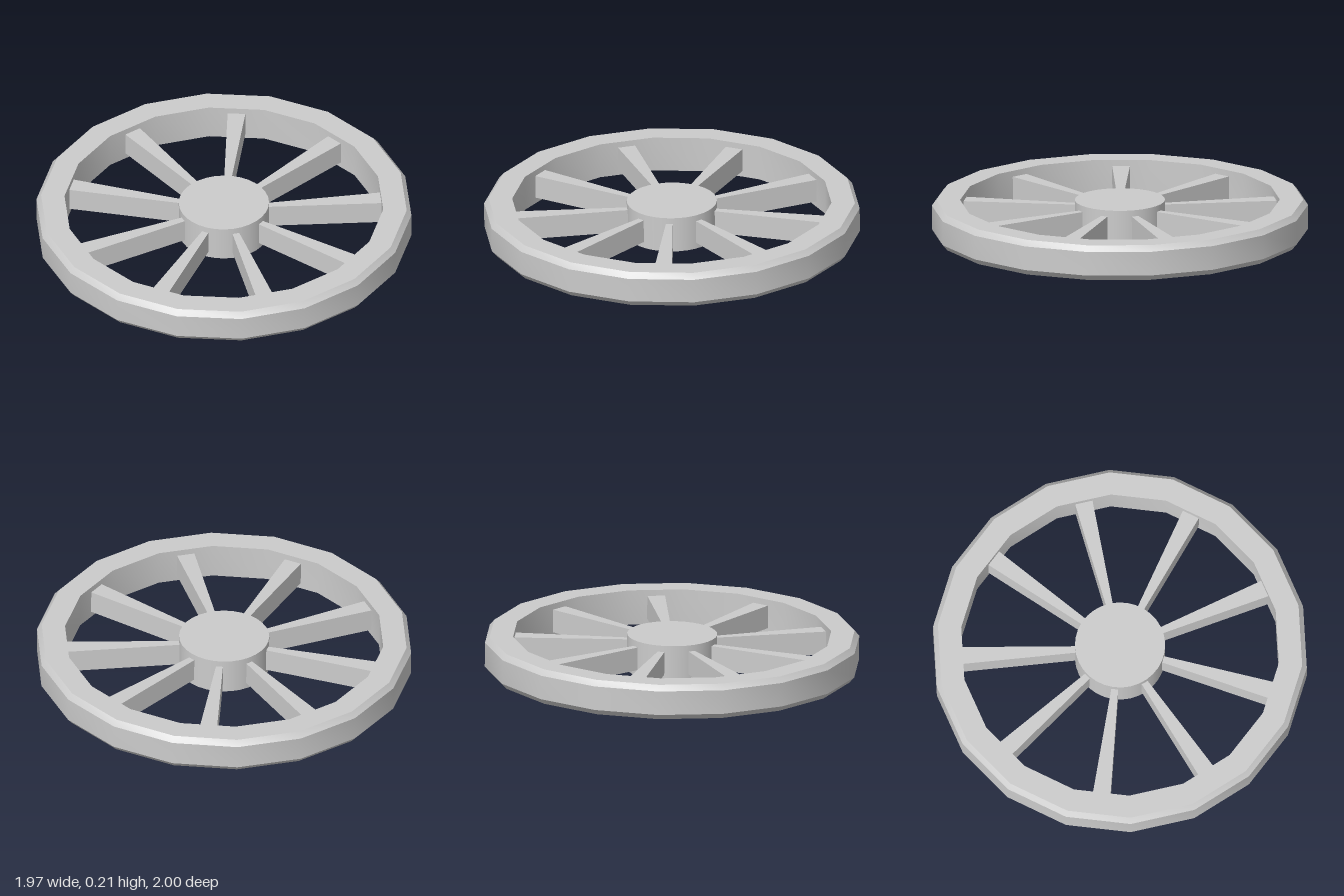
import * as THREE from 'three';
import { toCreasedNormals } from 'three/addons/utils/BufferGeometryUtils.js';

export function createModel() {
  const model = new THREE.Group();
  const material = new THREE.MeshStandardMaterial({ color: 0xcccccc });
  const wheel = new THREE.Group();
  wheel.name = 'wheel';
  model.add(wheel);

  const add = (name, geometry) => {
    const mesh = new THREE.Mesh(geometry, material);
    mesh.name = name;
    wheel.add(mesh);
    return mesh;
  };

  // Rim: 18-sided ring with bevelled outer edges
  const half = 0.095;
  const profile = [
    [0.85, -half], [0.975, -half], [1, -0.065], [1, 0.065],
    [0.975, half], [0.85, half], [0.85, -half],
  ].map(([r, y]) => new THREE.Vector2(r, y));
  add('rim', toCreasedNormals(new THREE.LatheGeometry(profile, 18), Math.PI / 6));

  // Hub
  add('hub', new THREE.CylinderGeometry(0.24, 0.24, 0.192, 32));

  // Spokes: boxes that widen from the hub to the rim
  const inner = 0.2, outer = 0.84;
  const spoke = new THREE.BoxGeometry(outer - inner, 0.125, 1);
  spoke.translate((inner + outer) / 2, 0, 0);
  const pos = spoke.attributes.position;
  for (let i = 0; i < pos.count; i++) {
    const width = pos.getX(i) > 0.5 ? 0.095 : 0.033;
    pos.setZ(i, pos.getZ(i) * width);
  }
  const spokeGeometry = toCreasedNormals(spoke, Math.PI / 6);
  for (let i = 0; i < 9; i++) {
    add('spoke', spokeGeometry).rotation.y = (i * Math.PI * 2) / 9;
  }

  // Slight tilt of the whole wheel
  wheel.rotation.set(0, -0.01, 0.01);
  wheel.position.y = 0.105;
  return model;
}
